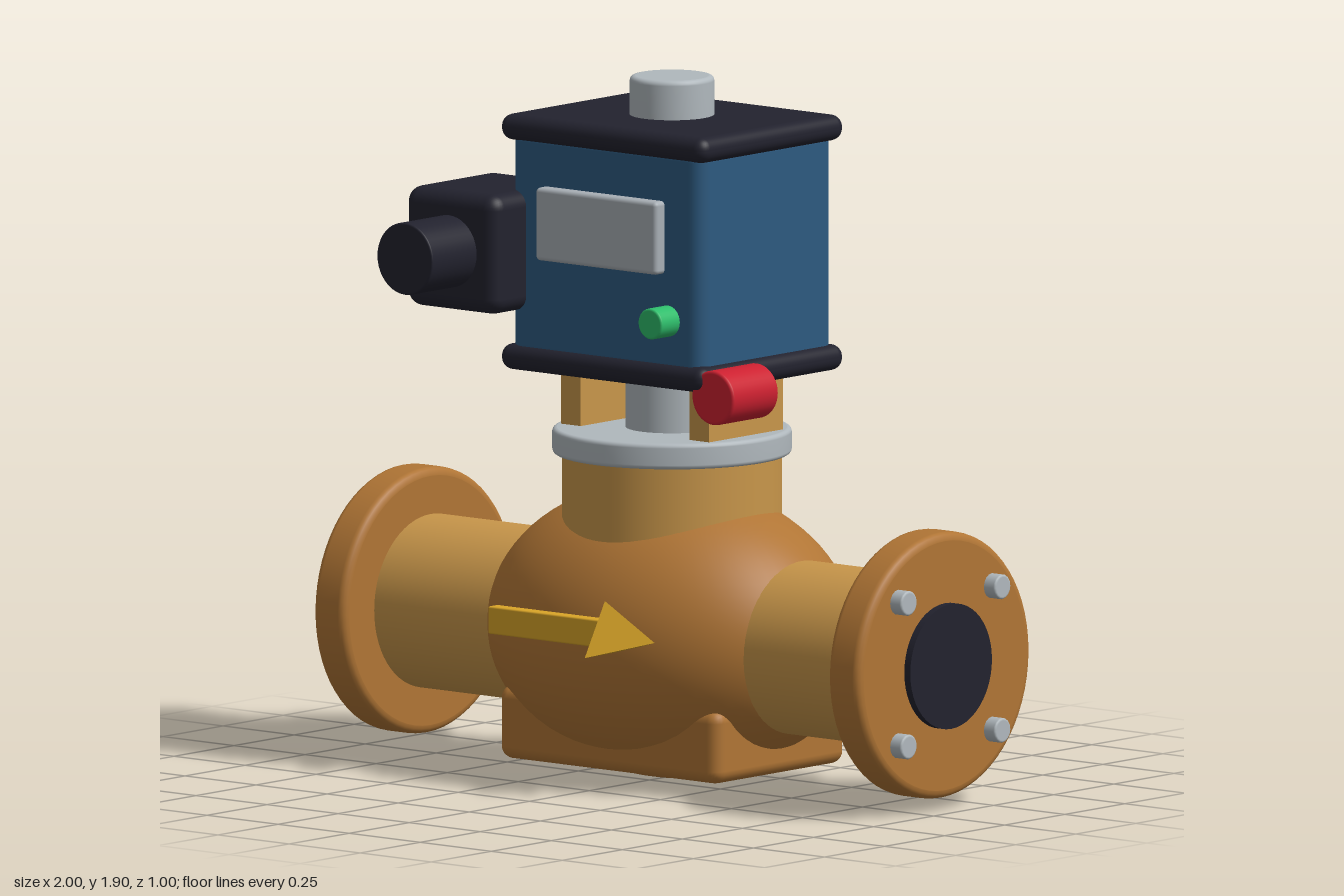
import * as THREE from 'three';
import { RoundedBoxGeometry } from 'three/addons/geometries/RoundedBoxGeometry.js';

const AXIS_Z = -0.094; // depth of the pipe axis
const PIPE_Y = 0.4;    // height of the pipe axis

const mat = (name, color) => {
  const m = new THREE.MeshStandardMaterial({ color });
  m.name = name;
  return m;
};

// Solid cylinder along y with bevelled rims, centred on the origin
function puck(radius, height, bevel = 0.01, segments = 48) {
  const h = height / 2, pts = [[0, -h]];
  const rim = (cy, from) => {
    for (let i = 0; i <= 4; i++) {
      const a = from + (i / 4) * Math.PI / 2;
      pts.push([radius - bevel + bevel * Math.cos(a), cy + bevel * Math.sin(a)]);
    }
  };
  // doubled points keep the flat ends and the wall crisp
  pts.push([radius - bevel - 0.001, -h]);
  rim(-h + bevel, -Math.PI / 2);
  rim(h - bevel, 0);
  pts.push([radius - bevel - 0.001, h], [0, h]);
  return new THREE.LatheGeometry(pts.map(([x, y]) => new THREE.Vector2(x, y)), segments);
}

export function createModel() {
  const model = new THREE.Group();
  model.name = 'motorisedValve';

  const bronze = mat('bronze', 0xb07535);
  const brass = mat('brass', 0xc8964a);
  const steel = mat('steel', 0xb0b8bd);
  const panelGrey = mat('panelGrey', 0xa8afb5);
  const dark = mat('darkPlastic', 0x22222e);
  const blue = mat('blueHousing', 0x2d5a80);
  const red = mat('red', 0xcc2030);
  const green = mat('green', 0x2ebd6b);
  const gold = mat('gold', 0xdaa528);

  const add = (name, geo, material, x, y, z, axis) => {
    const m = new THREE.Mesh(geo, material);
    m.name = name;
    m.position.set(x, y, z);
    if (axis === 'x') m.rotation.z = -Math.PI / 2;
    if (axis === 'z') m.rotation.x = Math.PI / 2;
    model.add(m);
    return m;
  };

  // Valve body, foot and neck
  add('body', new THREE.SphereGeometry(1, 64, 40), bronze, 0, PIPE_Y + 0.006, AXIS_Z)
    .scale.set(0.556, 0.4, 0.403);
  add('foot', new RoundedBoxGeometry(0.775, 0.2, 0.545, 3, 0.035), bronze, 0, 0.148, AXIS_Z);
  add('neck', new THREE.CylinderGeometry(0.296, 0.296, 0.35, 64), brass, 0, 0.725, AXIS_Z);
  add('bonnetPlate', puck(0.322, 0.07, 0.012, 64), steel, 0, 0.921, AXIS_Z);

  // Pipe ends with flanges, bores and bolts
  for (const s of [-1, 1]) {
    add('pipe', new THREE.CylinderGeometry(0.235, 0.235, 0.6, 64), brass, s * 0.58, PIPE_Y, AXIS_Z, 'x');
    add('flange', puck(0.361, 0.112, 0.022, 64), bronze, s * 0.905, PIPE_Y, AXIS_Z, 'x');
    add('bore', new THREE.CylinderGeometry(0.17, 0.17, 0.05, 48), dark, s * 0.957, PIPE_Y, AXIS_Z, 'x');
    for (const dy of [-1, 1]) for (const dz of [-1, 1]) {
      add('bolt', puck(0.034, 0.06, 0.006, 16), steel,
        s * 0.97, PIPE_Y + dy * 0.195, AXIS_Z + dz * 0.195, 'x');
    }
    // Yoke post beside the stem
    add('yokePost', new THREE.BoxGeometry(0.07, 0.22, 0.308), brass, s * 0.226, 1.05, AXIS_Z);
  }
  add('stem', new THREE.CylinderGeometry(0.125, 0.125, 0.22, 40), steel, 0, 1.05, AXIS_Z);

  // Flow arrow
  add('arrowShaft', new RoundedBoxGeometry(0.42, 0.075, 0.04, 2, 0.005), gold, -0.07, 0.453, 0.322);
  const head = new THREE.ConeGeometry(0.097, 0.175, 3).toNonIndexed();
  head.rotateY(-Math.PI / 2);
  head.computeVertexNormals();
  add('arrowHead', head, gold, 0.203, 0.444, 0.322, 'x').rotation.z = -Math.PI / 2;

  // Actuator housing
  add('housing', new RoundedBoxGeometry(0.675, 0.64, 0.562, 4, 0.045), blue, 0, 1.457, AXIS_Z);
  for (const y of [1.146, 1.77]) {
    add('housingPlate', new RoundedBoxGeometry(0.724, 0.07, 0.6, 4, 0.033), dark, 0, y, AXIS_Z);
  }
  add('topKnob', puck(0.114, 0.13, 0.014, 40), steel, 0, 1.846, AXIS_Z);
  add('displayPanel', new RoundedBoxGeometry(0.426, 0.198, 0.05, 3, 0.012), panelGrey, -0.002, 1.522, 0.198);
  add('indicatorLamp', puck(0.042, 0.09, 0.006, 32), green, 0.223, 1.297, 0.218, 'z');
  add('redCap', puck(0.074, 0.19, 0.008, 40), red, 0.387, 1.104, 0.101, 'z');

  // Side connector and cable gland
  add('connectorBox', new RoundedBoxGeometry(0.325, 0.325, 0.37, 4, 0.042), dark, -0.438, 1.437, 0.132);
  add('cableGland', puck(0.098, 0.22, 0.005, 40), dark, -0.438, 1.437, 0.391, 'z');

  return model;
}
